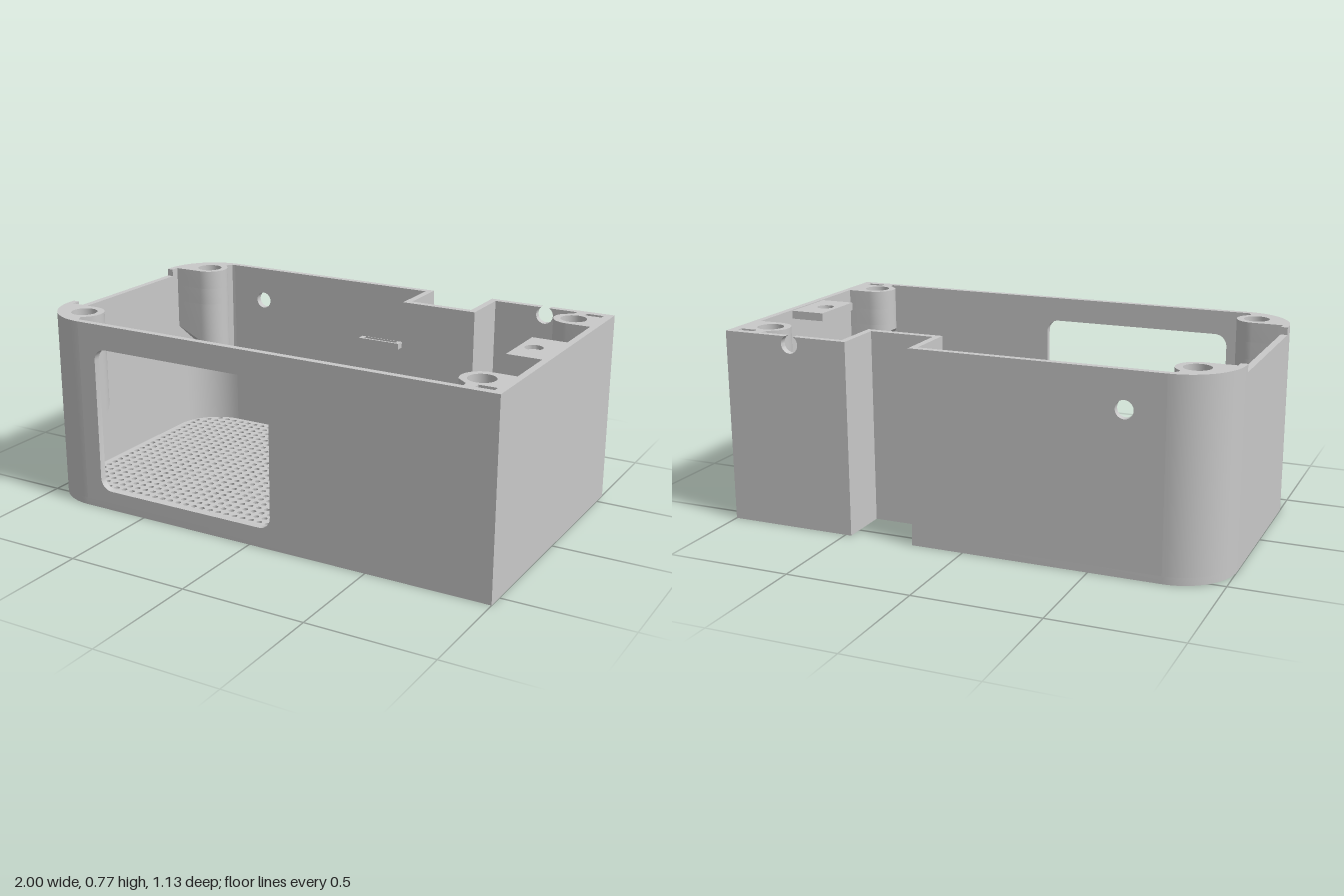
import * as THREE from 'three';
import { toCreasedNormals } from 'three/addons/utils/BufferGeometryUtils.js';

const H = 0.771, FLOOR = 0.03, T = 0.027, D = 0.567, R = 0.22;
const CX = -1 + R, CZ = D - R; // centre of the rounded corners

// Points on an arc, angles in degrees
function arc(cx, cy, r, a0, a1, n) {
  return Array.from({ length: n + 1 }, (_, i) => {
    const a = THREE.MathUtils.degToRad(a0 + (a1 - a0) * i / n);
    return [cx + r * Math.cos(a), cy + r * Math.sin(a)];
  });
}
const circle = (cx, cy, r, n = 24) => arc(cx, cy, r, 0, 360 * (n - 1) / n, n - 1);
const rect = (x0, x1, y0, y1) => [[x0, y0], [x1, y0], [x1, y1], [x0, y1]];

// Points with a set turning sense, so that outer and hole walls face the right way
function loop(pts, flip, clockwise) {
  const v = pts.map(([x, y]) => new THREE.Vector2(x, flip * y));
  return THREE.ShapeUtils.isClockWise(v) === clockwise ? v : v.reverse();
}
function extrude(pts, holes, depth, flip) {
  const shape = new THREE.Shape(loop(pts, flip, false));
  shape.holes = holes.map((h) => new THREE.Path(loop(h, flip, true)));
  return new THREE.ExtrudeGeometry(shape, { depth, bevelEnabled: false });
}
// Outline in x,z raised from y0 to y1
function plan(pts, y0, y1, holes = []) {
  return extrude(pts, holes, y1 - y0, -1).rotateX(-Math.PI / 2).translate(0, y0, 0);
}
// Outline in x,y extruded from z0 to z1
function upright(pts, z0, z1, holes = []) {
  return extrude(pts, holes, z1 - z0, 1).translate(0, 0, z0);
}

export function createModel() {
  const model = new THREE.Group();
  model.name = 'enclosure';
  const grey = new THREE.MeshStandardMaterial({ color: 0xc9c9c9 });
  grey.name = 'grey plastic';
  const add = (name, geometry) => {
    const mesh = new THREE.Mesh(toCreasedNormals(geometry, 0.65), grey);
    mesh.name = name;
    model.add(mesh);
  };

  // Floor with a square grid of vent holes
  const outline = [
    [1, D], ...arc(CX, CZ, R, 90, 180, 16), ...arc(CX, -CZ, R, 180, 270, 16),
    [0.21, -D], [0.21, -0.36], [0.475, -0.36], [0.475, -D], [1, -D],
  ];
  const vents = [];
  for (let i = 0; i < 49; i++) {
    for (let j = 0; j < 27; j++) {
      const x = -0.936 + i * 0.0388, z = -0.505 + j * 0.0388;
      const corner = x < CX && Math.abs(z) > CZ && Math.hypot(x - CX, Math.abs(z) - CZ) > 0.18;
      const notch = x > 0.17 && x < 0.52 && z < -0.3;
      const blank = x > 0.17 && x < 0.52 && z > 0.35;
      if (!corner && !notch && !blank) vents.push(circle(x, z, 0.012, 10));
    }
  }
  add('ventedFloor', plan(outline, 0, FLOOR, vents));

  // Front wall with a rounded window
  const w = 0.05;
  const frontWindow = [
    ...arc(0.095 - w, 0.672 - w, w, 0, 90, 8), ...arc(-0.705 + w, 0.672 - w, w, 90, 180, 8),
    ...arc(-0.705 + w, 0.08 + w, w, 180, 270, 8), ...arc(0.095 - w, 0.08 + w, w, 270, 360, 8),
  ];
  add('frontWall', upright(rect(CX, 1, FLOOR, H), D - T, D, [frontWindow]));

  // Back walls: a round cable hole, and a hole open at the rim
  add('backWall', upright(rect(CX, 0.21, FLOOR, H), -D, -D + T, [circle(-0.627, 0.627, 0.035)]));
  add('backWallNotched', upright([
    [0.475, FLOOR], [1, FLOOR], [1, H],
    ...arc(0.717, 0.74, 0.036, 60, -240, 24).map(([x, y], i) => [x, i % 24 ? y : H]),
    [0.475, H],
  ], -D, -D + T));

  // Recess in the back
  add('recessWall', plan([
    [0.21, -D], [0.21, -0.36], [0.475, -0.36], [0.475, -D],
    [0.502, -D], [0.502, -0.331], [0.183, -0.331], [0.183, -D],
  ], FLOOR, H));

  // Side walls; the rounded end dips slightly between its corners
  add('leftWall', plan(rect(1 - T, 1, -D, D), FLOOR, H));
  add('rightWall', plan(rect(-1, -1 + T, -0.325, 0.325), FLOOR, H - 0.03));

  for (const s of [1, -1]) {
    const side = s > 0 ? 'Front' : 'Back';
    const flip = (pts) => pts.map(([x, z]) => [x, s * z]);

    // Rounded wall corner
    add('roundedCorner' + side, plan(flip([
      ...arc(CX, CZ, R, 90, 180, 16), [-1, 0.325], [-1 + T, 0.325],
      ...arc(CX, CZ, R - T, 180, 90, 16),
    ]), FLOOR, H));

    // Screw posts, hanging from the rim with sloped undersides
    const posts = [
      {
        name: 'rightPost' + side, x: -0.85, slots: [],
        pts: [[-0.978, 0.36], ...arc(-0.85, 0.44, 0.08, -90, 30, 12), [-0.81, 0.515],
          [-0.79, 0.546], ...arc(CX, CZ, R - 0.02, 98, 174, 10)],
        underside: (x, z) => 0.503 - 0.47 * (x + 0.975) - 0.85 * (z - 0.36),
      },
      {
        name: 'leftPost' + side, x: 0.877, slots: [flip(rect(0.895, 0.965, 0.51, 0.536))],
        pts: [[0.975, 0.36], ...arc(0.877, 0.44, 0.08, 270, 150, 12), [0.85, 0.515],
          [0.855, 0.543], [0.975, 0.543]],
        underside: (x) => 0.59 - 0.86 * (x - 0.8),
      },
    ];
    for (const { name, x, slots, pts, underside } of posts) {
      const p = flip(pts);
      add(name + 'Rim', plan(p, H - 0.08, H, [circle(x, s * 0.44, 0.052), ...slots]));
      add(name + 'Bore', plan(p, 0.62, H - 0.08, [circle(x, s * 0.44, 0.037)]));
      const foot = plan(p, 0.5, 0.62);
      const pos = foot.attributes.position;
      for (let i = 0; i < pos.count; i++) {
        if (pos.getY(i) < 0.55) pos.setY(i, underside(pos.getX(i), Math.abs(pos.getZ(i))));
      }
      foot.computeVertexNormals();
      add(name + 'Foot', foot);
    }
  }

  // Screw tab with a countersunk hole
  const tab = rect(0.83, 0.975, -0.125, 0.125);
  add('tabTop', plan(tab, 0.752, 0.768, [circle(0.888, 0, 0.035)]));
  add('tabBase', plan(tab, 0.735, 0.752, [circle(0.888, 0, 0.012)]));

  // Slotted strap loops on the inside of the back wall
  for (const y of [0.3, 0.52]) {
    add('strapLoop', plan(rect(-0.118, 0.075, -0.542, -0.505), y - 0.013, y + 0.013,
      [rect(-0.1, 0.057, -0.537, -0.515)]));
  }
  return model;
}
